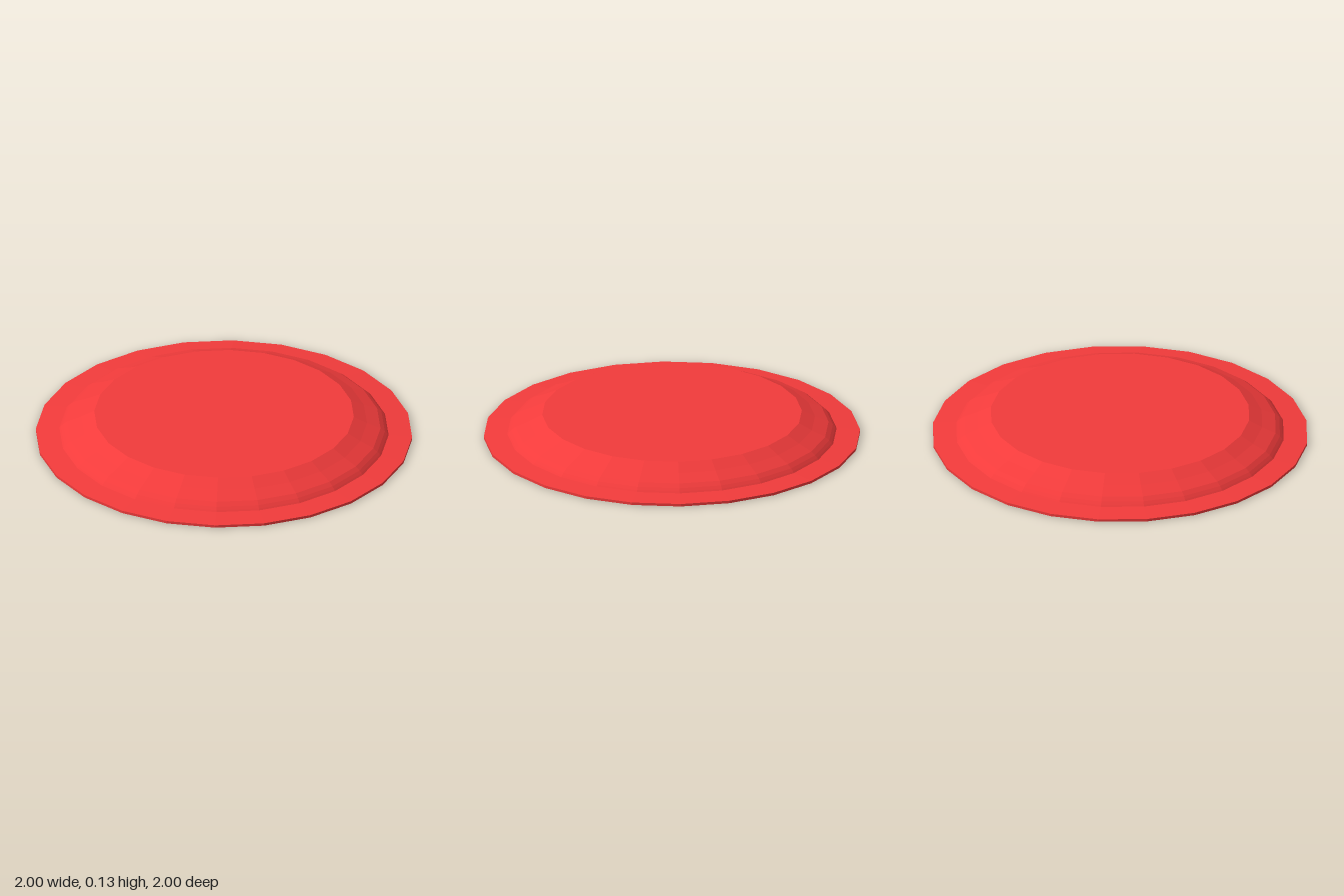
import * as THREE from 'three';

const SIDES = 24;

export function createModel() {
  const group = new THREE.Group();
  const material = new THREE.MeshStandardMaterial({ color: 0xf23b3b, flatShading: true });

  // Stepped hollow underside, from the centre out to the rim
  const underside = [
    [0, 0.124], [0.69, 0.124], [0.69, 0.09], [0.755, 0.09], [0.755, 0.06],
    [0.825, 0.06], [0.825, 0.04], [0.85, 0.04], [0.85, 0.022],
    [0.865, 0.022], [0.865, 0], [1, 0],
  ];
  // Thin flange, rounded shoulder and flat crown, from the rim to the centre
  const topSide = [
    [1, 0.014], [0.875, 0.024], [0.868, 0.032], [0.855, 0.045],
    [0.832, 0.063], [0.76, 0.094], [0.69, 0.13], [0, 0.13],
  ];

  const profile = [...underside, ...topSide].map(([r, y]) => new THREE.Vector2(r, y));
  const lid = new THREE.Mesh(new THREE.LatheGeometry(profile, SIDES), material);
  lid.name = 'domedLid';
  group.add(lid);
  return group;
}
